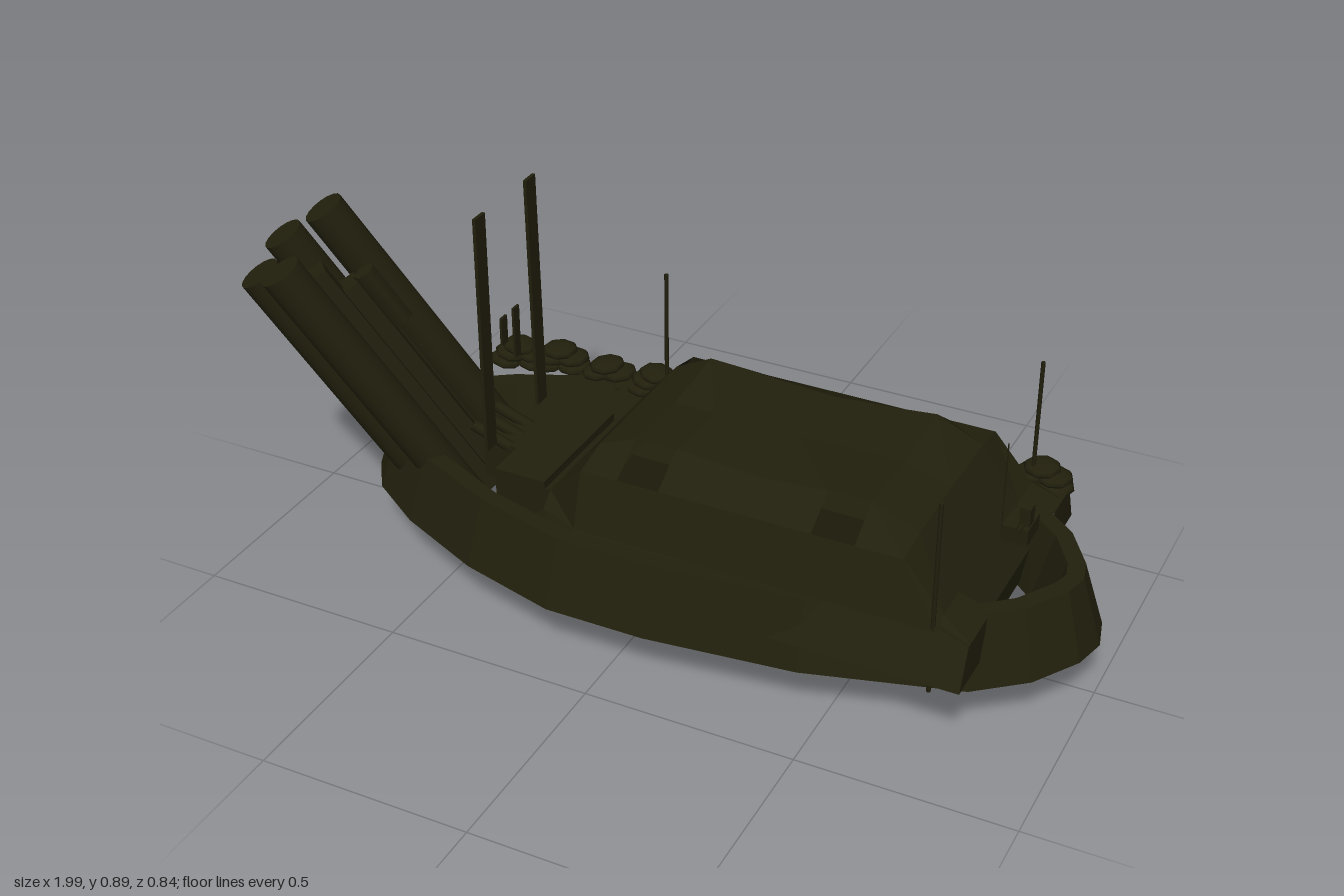
import * as THREE from 'three';

const olive = new THREE.MeshStandardMaterial({ color: 0x211f0c, side: THREE.DoubleSide });
olive.name = 'dark olive';

export function createModel() {
  const model = new THREE.Group();
  model.name = 'dugInLauncher';

  const add = (name, geo, x = 0, y = 0, z = 0, parent = model) => {
    const m = new THREE.Mesh(geo, olive);
    m.name = name;
    m.position.set(x, y, z);
    parent.add(m);
    return m;
  };
  const box = (name, w, h, d, x, y, z, parent) => add(name, new THREE.BoxGeometry(w, h, d), x, y, z, parent);
  const V = (x, y, z) => new THREE.Vector3(x, y, z);

  // Flat-shaded surface through a grid of points; skip(i, j) leaves a hole
  function gridSurface(rows, skip = () => false) {
    const pos = [];
    for (let i = 0; i < rows.length - 1; i++) {
      for (let j = 0; j < rows[i].length - 1; j++) {
        if (skip(i, j)) continue;
        const a = rows[i][j], b = rows[i][j + 1], c = rows[i + 1][j + 1], d = rows[i + 1][j];
        for (const p of [a, b, c, a, c, d]) pos.push(p.x, p.y, p.z);
      }
    }
    const g = new THREE.BufferGeometry();
    g.setAttribute('position', new THREE.Float32BufferAttribute(pos, 3));
    g.computeVertexNormals();
    return g;
  }

  // Cylinder between two points
  function rod(name, a, b, r, sides, parent = model) {
    const m = add(name, new THREE.CylinderGeometry(r, r, a.distanceTo(b), sides), 0, 0, 0, parent);
    m.position.copy(a).add(b).multiplyScalar(0.5);
    m.quaternion.setFromUnitVectors(V(0, 1, 0), b.clone().sub(a).normalize());
    return m;
  }

  // Earth wall: sloped section, open below, swept round a boat-shaped outline
  const half = [[1, 0], [0.98, 0.08], [0.91, 0.19], [0.8, 0.28], [0.45, 0.38], [0.1, 0.42],
    [-0.14, 0.42], [-0.38, 0.355], [-0.6, 0.255], [-0.74, 0.16], [-0.8, 0.07]];
  const outline = [...half, [-0.81, 0], ...half.slice(1).reverse().map(([x, z]) => [x, -z])];
  const n = outline.length;
  const section = [[0, 0.13], [0.05, 0.29], [0.09, 0.29], [0.14, 0.13]];
  const wallRows = [];
  for (let i = 0; i <= n; i++) {
    const [x, z] = outline[i % n];
    const p = outline[(i + n - 1) % n], q = outline[(i + 1) % n];
    const tx = q[0] - p[0], tz = q[1] - p[1], len = Math.hypot(tx, tz);
    wallRows.push(section.map(([o, y]) => V(x - (tz / len) * o, y, z + (tx / len) * o)));
  }
  add('earthWall', gridSurface(wallRows));

  // Camouflage canopy with a few missing squares
  const columns = [[-0.28, 0.24], [-0.22, 0.32], [-0.12, 0.44], [-0.03, 0.485], [0.07, 0.48], [0.16, 0.472],
    [0.28, 0.465], [0.43, 0.475], [0.53, 0.485], [0.64, 0.435], [0.735, 0.31], [0.81, 0.285]];
  const cross = [[-0.37, 0.19], [-0.32, 0.29], [-0.28, 0.42], [-0.19, 0.485], [0, 0.468],
    [0.19, 0.478], [0.28, 0.42], [0.32, 0.29], [0.37, 0.19]];
  const netRows = columns.map(([x, cap]) => cross.map(([z, y]) =>
    V(x, Math.min(y, cap), z * (x < -0.15 ? 0.87 : 1))));
  const holes = ['2,2', '4,2', '3,5', '7,5'];
  // The last bay covers only the sides, leaving the end open in the middle
  add('canopy', gridSurface(netRows, (i, j) => holes.includes(i + ',' + j) || (i === 10 && j > 2 && j < 5)));

  // Hanging flaps closing the corners of the open end
  for (const s of [-1, 1]) {
    add('cornerFlap', gridSurface([
      [V(0.735, 0.29, s * 0.2), V(0.81, 0.285, s * 0.22), V(0.81, 0.19, s * 0.23)],
      [V(0.735, 0.3, s * 0.32), V(0.81, 0.285, s * 0.33), V(0.81, 0.19, s * 0.37)],
    ]));
  }

  // Truck hull: side profile extruded across, with deck and underframe
  const hull = new THREE.Shape([[-0.28, 0.14], [0.7, 0.13], [0.77, 0.14], [0.78, 0.22],
    [0.7, 0.32], [0.6, 0.41], [-0.05, 0.42], [-0.12, 0.3], [-0.28, 0.26]].map(p => new THREE.Vector2(...p)));
  const hullGeo = new THREE.ExtrudeGeometry(hull, { depth: 0.34, bevelEnabled: false });
  hullGeo.translate(0, 0, -0.17);
  add('truckHull', hullGeo);
  box('rearDeck', 0.13, 0.13, 0.34, -0.345, 0.215, 0);
  box('underframe', 0.68, 0.06, 0.2, 0.39, 0.12, 0);
  box('rearFrame', 0.45, 0.04, 0.14, -0.17, 0.13, 0);

  // Blocky wheels and axles
  [-0.293, -0.055, 0.307, 0.545].forEach((x, i) => {
    for (const z of [-0.133, 0.133]) {
      box('wheel', 0.172, 0.15, 0.07, x, 0.12, z).rotation.z = i % 2 ? 0.05 : -0.05;
    }
    rod('axle', V(x, 0.11, -0.12), V(x, 0.11, 0.12), 0.018, 8);
  });

  // Four raised launch tubes: top centre and bottom height
  const launcher = new THREE.Group();
  launcher.name = 'launcher';
  model.add(launcher);
  const slope = V(-0.52, 1, 0.33);
  const along = (top, y) => top.clone().addScaledVector(slope, y - top.y);
  const tubes = [[V(-0.84, 0.77, 0.335), 0.07], [V(-0.925, 0.73, 0.3), 0.025],
    [V(-0.95, 0.765, 0.17), 0.06], [V(-0.87, 0.825, 0.115), 0.09]];
  for (const [top, low] of tubes) rod('launchTube', along(top, low), top, 0.049, 16, launcher);

  // Cradle between the tubes: square beams, web panel, cross bars and an equipment rail
  for (const top of [V(-0.84, 0.71, 0.225), V(-0.8, 0.66, 0.16)]) {
    const beam = rod('cradleBeam', along(top, 0.15), top, 0.05, 4, launcher);
    beam.geometry = beam.geometry.toNonIndexed();
    beam.geometry.computeVertexNormals();
  }
  const webEnd = y => [along(tubes[0][0], y), along(tubes[3][0], y)];
  add('cradleWeb', gridSurface([webEnd(0.2), webEnd(0.62)]), 0, 0, 0, launcher);
  for (const y of [0.25, 0.42, 0.58]) rod('cradleBar', along(tubes[1][0], y), along(tubes[2][0], y), 0.018, 6, launcher);
  const railTop = V(-0.755, 0.7, 0.14);
  rod('equipmentRail', along(railTop, 0.57), railTop, 0.028, 6, launcher);
  for (const z of [-0.05, 0, 0.05]) rod('liftStrut', V(-0.4, 0.25, z), V(-0.52, 0.32, z + 0.03), 0.014, 8, launcher);
  box('launcherPivot', 0.1, 0.1, 0.14, -0.45, 0.23, 0, launcher);

  // Flat masts behind the deck and small hanging plates
  box('tallMast', 0.008, 0.6, 0.042, -0.455, 0.593, 0.112);
  box('tallMast', 0.008, 0.6, 0.042, -0.455, 0.593, -0.118).rotation.x = 0.025;
  box('hangingPlate', 0.006, 0.07, 0.025, -0.455, 0.565, 0.03);
  box('hangingPlate', 0.006, 0.13, 0.025, -0.455, 0.535, -0.025);

  // Net poles and whip antenna
  for (const [x, z] of [[0.725, 0.315], [0.725, -0.315], [-0.21, -0.315]])
    rod('netPole', V(x, 0.13, z), V(x, 0.605, z), 0.005, 6);
  rod('whipAntenna', V(0.735, 0.3, -0.075), V(0.735, 0.53, -0.075), 0.0015, 4);

  // Mounted gun at the open end
  box('gunMount', 0.06, 0.04, 0.08, 0.77, 0.31, -0.1);
  box('gunBody', 0.025, 0.05, 0.03, 0.785, 0.35, -0.09);
  rod('gunBarrel', V(0.78, 0.33, -0.05), V(0.78, 0.33, -0.15), 0.007, 6);

  // Sandbag stacks along the rear wall: position and heading
  const bag = new THREE.SphereGeometry(1, 8, 6);
  const stacks = [[-0.61, -0.295, 0.25], [-0.51, -0.32, 0.25], [-0.37, -0.305, 0.25], [-0.24, -0.32, 0.2],
    [-0.1, -0.335, 0.1], [0.04, -0.34, 0], [0.18, -0.34, 0], [0.32, -0.335, -0.05],
    [0.46, -0.335, 0], [0.6, -0.335, 0], [0.74, -0.335, 0]];
  stacks.forEach(([x, z, turn], i) => {
    const stack = new THREE.Group();
    stack.name = 'sandbagStack';
    stack.position.set(x, 0.28, z);
    stack.rotation.y = turn;
    model.add(stack);
    for (const [dx, dy] of [[-0.035, 0], [0.035, 0], [-0.02, 0.022], [0.03, 0.024], [0, 0.042]]) {
      const b = add('sandbag', bag, dx, dy, 0, stack);
      b.scale.set(0.045, 0.016, 0.045);
      b.rotation.z = (i % 3 - 1) * 0.12;
    }
  });

  return model;
}
